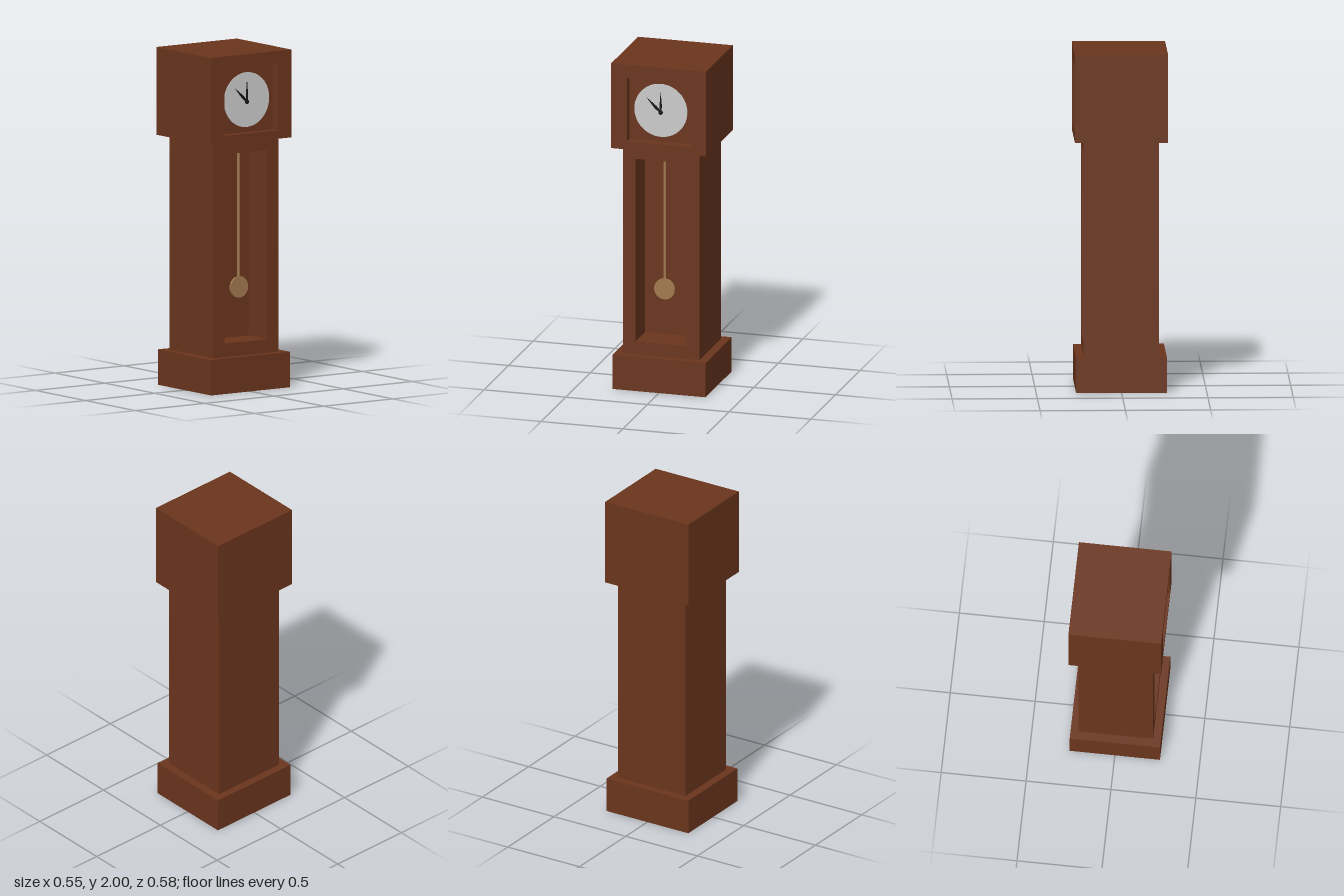
import * as THREE from 'three';

const mat = (color) => new THREE.MeshStandardMaterial({ color });
const wood = mat(0x6b351d), dialMat = mat(0xcccccc), brass = mat(0xa27a4f), black = mat(0x161616);

function add(parent, name, geometry, material, x, y, z) {
  const mesh = new THREE.Mesh(geometry, material);
  mesh.name = name;
  mesh.position.set(x, y, z);
  parent.add(mesh);
  return mesh;
}

function rectPoints(x0, x1, y0, y1) {
  return [[x0, y0], [x1, y0], [x1, y1], [x0, y1]].map(([x, y]) => new THREE.Vector2(x, y));
}

// Wooden case with a rectangular niche cut into its dial side
function nicheCase(name, width, depth, y0, y1, niche, nicheDepth) {
  const group = new THREE.Group();
  group.name = name;
  const shape = new THREE.Shape(rectPoints(-width / 2, width / 2, y0, y1));
  shape.holes.push(new THREE.Path(rectPoints(...niche)));
  const frame = new THREE.ExtrudeGeometry(shape, { depth: nicheDepth, bevelEnabled: false });
  add(group, name + 'Frame', frame, wood, 0, 0, depth / 2 - nicheDepth);
  const back = new THREE.BoxGeometry(width, y1 - y0, depth - nicheDepth);
  add(group, name + 'Back', back, wood, 0, (y0 + y1) / 2, -nicheDepth / 2);
  return group;
}

function disc(radius, thickness, segments = 48) {
  return new THREE.CylinderGeometry(radius, radius, thickness, segments).rotateX(Math.PI / 2);
}

// Tapered hand pointing up from the hub
function handGeometry(length, halfWidth) {
  const points = [[-0.005, 0], [0.005, 0], [halfWidth, length * 0.35], [0, length], [-halfWidth, length * 0.35]];
  const shape = new THREE.Shape(points.map(([x, y]) => new THREE.Vector2(x, y)));
  return new THREE.ExtrudeGeometry(shape, { depth: 0.003, bevelEnabled: false });
}

export function createModel() {
  const clock = new THREE.Group();
  clock.name = 'longcaseClock';

  // Case: plinth, trunk with pendulum niche, hood with dial niche
  add(clock, 'plinth', new THREE.BoxGeometry(0.57, 0.21, 0.532), wood, 0, 0.105, 0);
  clock.add(nicheCase('trunk', 0.47, 0.44, 0.21, 1.48, [-0.156, 0.156, 0.29, 1.41], 0.19));
  clock.add(nicheCase('hood', 0.58, 0.546, 1.48, 2, [-0.194, 0.194, 1.53, 1.92], 0.05));

  // Dial and hands
  const dialY = 1.723, dialZ = 0.225;
  add(clock, 'dial', disc(0.162, 0.006), dialMat, 0, dialY, dialZ);
  add(clock, 'minuteHand', handGeometry(0.125, 0.007), black, 0, dialY - 0.012, dialZ + 0.004);
  const hour = add(clock, 'hourHand', handGeometry(0.12, 0.009), black, 0, dialY - 0.012, dialZ + 0.004);
  hour.rotation.z = 0.79;
  add(clock, 'handHub', disc(0.013, 0.006, 24), black, 0, dialY - 0.012, dialZ + 0.006);

  // Pendulum
  const swingZ = 0.145;
  add(clock, 'pendulumRod', new THREE.CylinderGeometry(0.008, 0.008, 0.8, 12), brass, 0, 1.01, swingZ);
  add(clock, 'pendulumBob', disc(0.063, 0.012), brass, 0, 0.605, swingZ + 0.004);

  // The dial side looks along +x
  clock.rotation.y = Math.PI / 2;
  const model = new THREE.Group();
  model.add(clock);
  return model;
}
